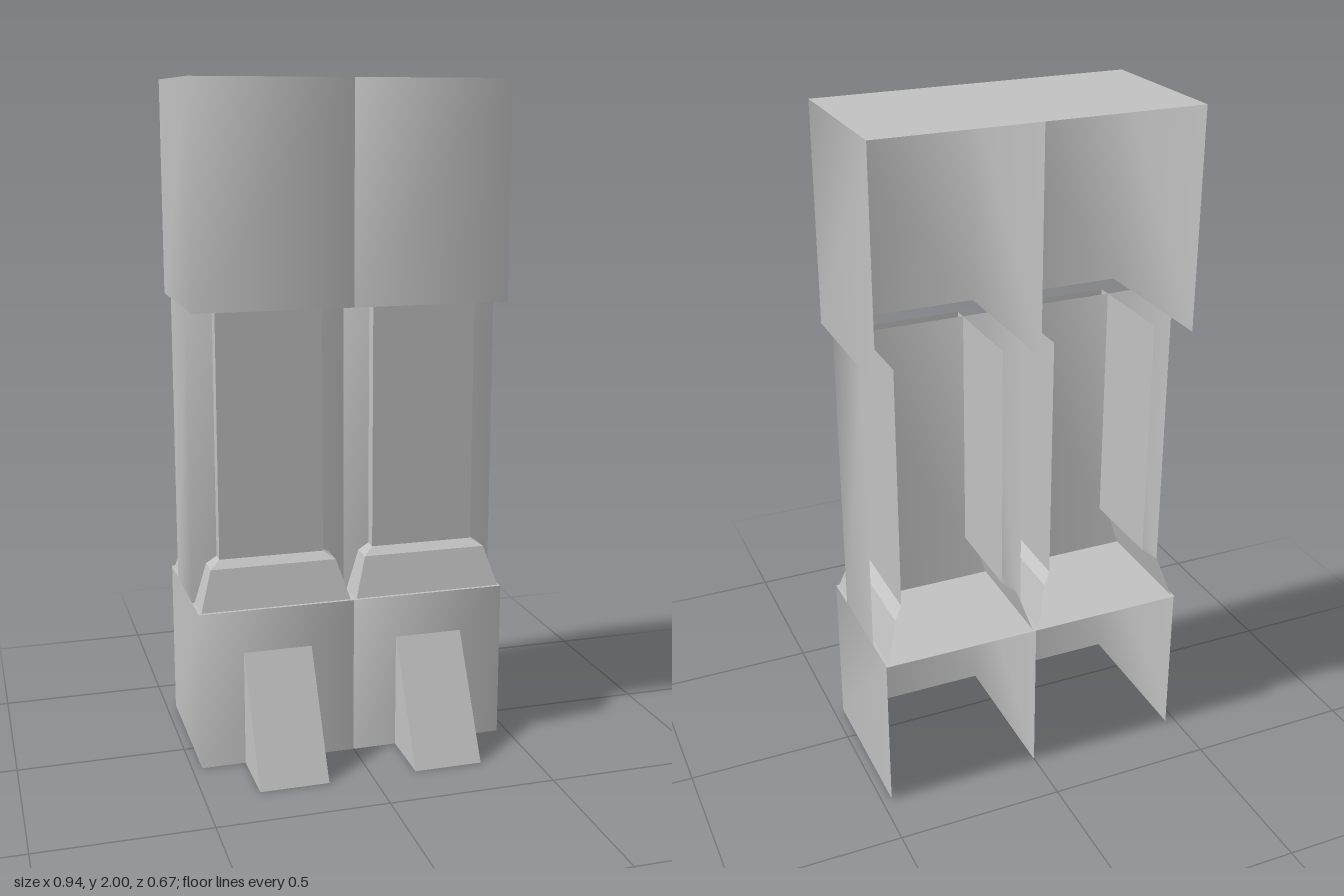
import * as THREE from 'three';

const grey = new THREE.MeshStandardMaterial({ color: 0xc0c0c0, side: THREE.DoubleSide });
grey.name = 'plain grey';

// Three-sided shell open at the back: rings of {y, w: half width, f: front z, b: back z}
function shell(name, rings, smooth) {
  const pos = [], index = [];
  for (const { y, w, f, b } of rings) pos.push(-w, y, b, -w, y, f, w, y, f, w, y, b);
  for (let r = 0; r < rings.length - 1; r++) {
    for (let i = 0; i < 3; i++) {
      const a = r * 4 + i, t = a + 4;
      index.push(a, a + 1, t + 1, a, t + 1, t);
    }
  }
  let g = new THREE.BufferGeometry();
  g.setAttribute('position', new THREE.Float32BufferAttribute(pos, 3));
  g.setIndex(index);
  if (!smooth) g = g.toNonIndexed();
  g.computeVertexNormals();
  const mesh = new THREE.Mesh(g, grey);
  mesh.name = name;
  return mesh;
}

// Straight walls between two heights
function walls(name, y0, y1, w, f, b, smooth) {
  return shell(name, [{ y: y0, w, f, b }, { y: y1, w, f, b }], smooth);
}

// Horizontal cover over both bays
function cover(name, y) {
  const g = new THREE.PlaneGeometry(0.94, 0.475).rotateX(-Math.PI / 2);
  const mesh = new THREE.Mesh(g, grey);
  mesh.position.set(0, y, -0.0975);
  mesh.name = name;
  return mesh;
}

function createBay() {
  const bay = new THREE.Group();
  bay.add(
    walls('baseWalls', 0, 0.48, 0.2345, 0.14, -0.33, true),
    walls('shaftWalls', 0.48, 1.36, 0.2345, 0.03, -0.215, true),
    walls('headWalls', 1.36, 2, 0.2345, 0.14, -0.335, true),
    // Raised panel around the shaft
    walls('panel', 0.62, 1.36, 0.158, 0.07, -0.255, false),
    // Sloped collar at the foot of the panel
    shell('collar', [
      { y: 0.482, w: 0.226, f: 0.135, b: -0.327 },
      { y: 0.6, w: 0.19, f: 0.1, b: -0.29 },
      { y: 0.62, w: 0.158, f: 0.07, b: -0.255 },
    ], false),
    // Sloping buttress, with no underside
    shell('buttress', [
      { y: 0, w: 0.103, f: 0.335, b: 0.14 },
      { y: 0.35, w: 0.103, f: 0.141, b: 0.14 },
    ], false),
  );
  return bay;
}

export function createModel() {
  const model = new THREE.Group();
  model.name = 'twinPillar';
  for (const side of [-1, 1]) {
    const bay = createBay();
    bay.name = side < 0 ? 'rightBay' : 'leftBay';
    bay.position.x = side * 0.2355;
    model.add(bay);
  }
  model.add(cover('baseTop', 0.48), cover('roof', 2));
  return model;
}
